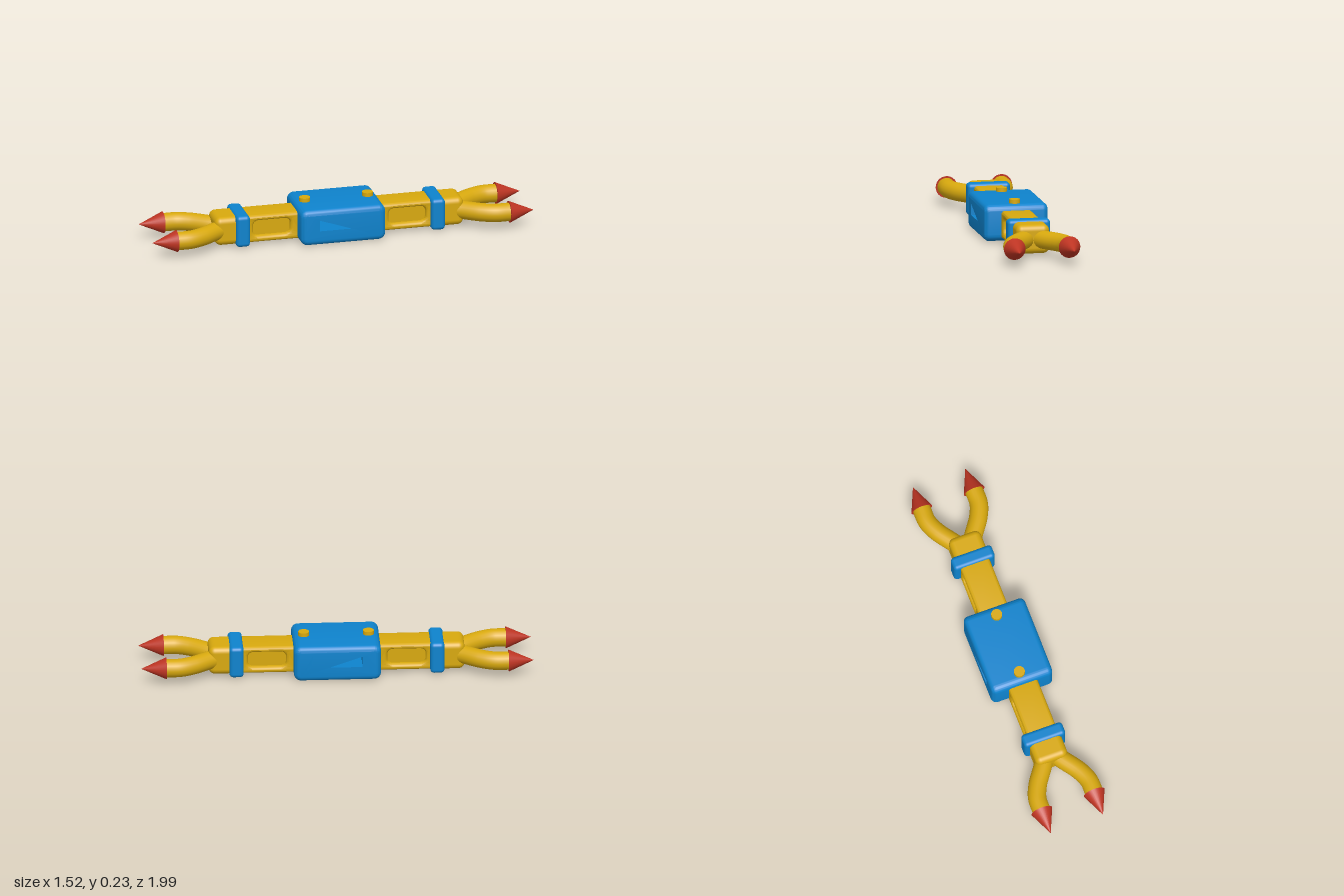
import * as THREE from 'three';
import { toCreasedNormals } from 'three/addons/utils/BufferGeometryUtils.js';
import { RoundedBoxGeometry } from 'three/addons/geometries/RoundedBoxGeometry.js';

const makeMaterial = (name, color) => {
  const m = new THREE.MeshStandardMaterial({ color });
  m.name = name;
  return m;
};

// Rounded rectangle traced into a Shape or Path
function roundRect(path, x0, y0, x1, y1, r) {
  path.moveTo(x0 + r, y0);
  path.lineTo(x1 - r, y0);
  path.absarc(x1 - r, y0 + r, r, -Math.PI / 2, 0);
  path.lineTo(x1, y1 - r);
  path.absarc(x1 - r, y1 - r, r, 0, Math.PI / 2);
  path.lineTo(x0 + r, y1);
  path.absarc(x0 + r, y1 - r, r, Math.PI / 2, Math.PI);
  path.lineTo(x0, y0 + r);
  path.absarc(x0 + r, y0 + r, r, Math.PI, Math.PI * 1.5);
  return path;
}

// Soft-edged slab, centred on z, total width w
function slab(shape, w, bevel) {
  const geo = new THREE.ExtrudeGeometry(shape, {
    depth: w - 2 * bevel, bevelSize: bevel, bevelThickness: bevel,
    bevelOffset: -bevel, bevelSegments: 5, curveSegments: 6,
  });
  return geo.translate(0, 0, -w / 2 + bevel);
}

export function createModel() {
  const blue = makeMaterial('blue', 0x0e83cd);
  const yellow = makeMaterial('yellow', 0xd8a90e);
  const red = makeMaterial('red', 0xbd3422);

  const model = new THREE.Group();
  model.name = 'doubleClawTool';

  const add = (parent, name, geo, mat, x = 0, y = 0, z = 0) => {
    const mesh = new THREE.Mesh(geo, mat);
    mesh.name = name;
    mesh.position.set(x, y, z);
    parent.add(mesh);
    return mesh;
  };

  // Central housing with a straight slot running through it
  const slotY = 0.123, slotX = 0.14, slotH = 0.036;
  const housing = roundRect(new THREE.Shape(), -0.245, 0.002, 0.245, 0.21, 0.04);
  const slot = new THREE.Path();
  slot.moveTo(-slotX, slotY - slotH);
  slot.lineTo(-slotX, slotY + slotH);
  slot.lineTo(slotX, slotY + slotH);
  slot.lineTo(slotX, slotY - slotH);
  slot.closePath();
  housing.holes.push(slot);
  const housingGeo = slab(housing, 0.365, 0.03);
  // keep the slot walls straight where the bevel would flare them
  const p = housingGeo.attributes.position;
  for (let i = 0; i < p.count; i++) {
    const x = p.getX(i), dy = p.getY(i) - slotY;
    if (Math.abs(x) < 0.195 && Math.abs(dy) < 0.07) {
      p.setXY(i, Math.sign(x) * slotX, slotY + Math.sign(dy) * slotH);
    }
  }
  add(model, 'housing', toCreasedNormals(housingGeo, 0.7), blue);

  // Arm frame with a rounded pocket on each side
  const frame = roundRect(new THREE.Shape(), 0.2, 0.018, 0.6, 0.177, 0.025);
  frame.holes.push(roundRect(new THREE.Path(), 0.285, 0.055, 0.5, 0.145, 0.03));
  const frameGeo = toCreasedNormals(slab(frame, 0.174, 0.018), 0.7);

  for (const side of [1, -1]) {
    const arm = new THREE.Group();
    arm.name = side > 0 ? 'rearArm' : 'frontArm';
    arm.rotation.y = side > 0 ? 0 : Math.PI;
    model.add(arm);

    add(arm, 'button', new THREE.CylinderGeometry(0.031, 0.031, 0.04, 32), yellow, 0.182, 0.212, 0);
    add(arm, 'armFrame', frameGeo, yellow);
    add(arm, 'armCore', new THREE.BoxGeometry(0.26, 0.12, 0.12), yellow, 0.39, 0.098, 0);
    add(arm, 'collar', new RoundedBoxGeometry(0.08, 0.184, 0.245, 4, 0.022), blue, 0.565, 0.098, 0);
    add(arm, 'palm', new RoundedBoxGeometry(0.17, 0.165, 0.19, 5, 0.035), yellow, 0.635, 0.097, 0);

    // Two curved fingers ending in pointed tips
    for (const s of [1, -1]) {
      const path = new THREE.CatmullRomCurve3(
        [[0.65, 0.02], [0.71, 0.056], [0.81, 0.125], [0.885, 0.155], [0.97, 0.157]]
          .map(([x, z]) => new THREE.Vector3(x, 0.095, s * z)));
      add(arm, 'finger', new THREE.TubeGeometry(path, 32, 0.052, 20), yellow);
      const tip = add(arm, 'fingerTip', new THREE.ConeGeometry(0.062, 0.142, 28), red, 1.034, 0.095, s * 0.157);
      tip.rotation.z = -Math.PI / 2;
    }
  }

  // The whole tool lies diagonally
  model.rotation.y = THREE.MathUtils.degToRad(55.1);
  const root = new THREE.Group();
  root.name = 'model';
  root.add(model);
  return root;
}
